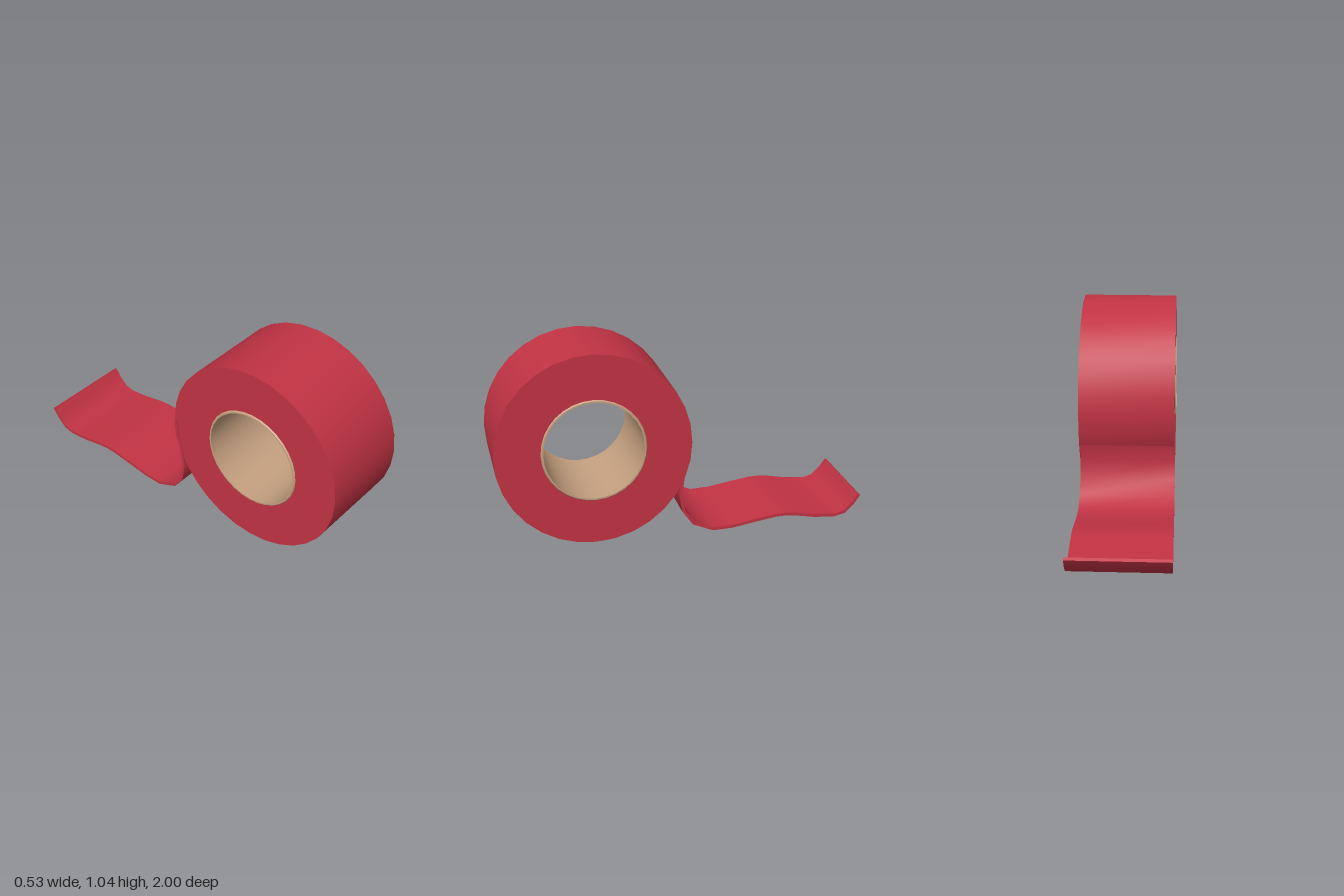
import * as THREE from 'three';
import { toCreasedNormals } from 'three/addons/utils/BufferGeometryUtils.js';

const CENTER_Y = 0.53, CENTER_Z = 0.48;

// Ring around the x axis from a closed (radius, x) profile
function ring(name, profile, material, segments) {
  const points = [...profile, profile[0]].map(([r, x]) => new THREE.Vector2(r, x));
  const geometry = toCreasedNormals(new THREE.LatheGeometry(points, segments), 0.5);
  geometry.rotateZ(-Math.PI / 2);
  const mesh = new THREE.Mesh(geometry, material);
  mesh.name = name;
  mesh.position.set(0, CENTER_Y, CENTER_Z);
  return mesh;
}

// Thin strip following a (z, y) path, extruded across x
function ribbon(name, path, thickness, x0, x1, material) {
  const pts = path.map(([z, y]) => new THREE.Vector2(-z, y));
  const side = (s) => pts.map((p, i) => {
    const a = pts[Math.max(i - 1, 0)], b = pts[Math.min(i + 1, pts.length - 1)];
    const d = b.clone().sub(a).normalize();
    return new THREE.Vector2(p.x - d.y * s, p.y + d.x * s);
  });
  const outline = [...side(-thickness / 2), ...side(thickness / 2).reverse()];
  const extruded = new THREE.ExtrudeGeometry(new THREE.Shape(outline), {
    depth: x1 - x0, bevelEnabled: false,
  });
  const geometry = toCreasedNormals(extruded, 1.0);
  geometry.rotateY(Math.PI / 2);
  geometry.translate(x0, 0, 0);
  const mesh = new THREE.Mesh(geometry, material);
  mesh.name = name;
  return mesh;
}

export function createModel() {
  const red = new THREE.MeshStandardMaterial({ name: 'red tape', color: 0xc23344 });
  const tan = new THREE.MeshStandardMaterial({ name: 'tan cardboard', color: 0xc5a080 });

  const model = new THREE.Group();
  model.name = 'tapeRoll';

  // Wound tape
  model.add(ring('woundTape', [
    [0.274, -0.26], [0.518, -0.26], [0.518, 0.26], [0.274, 0.26],
  ], red, 32));

  // Cardboard core, slightly proud of the tape with bevelled rims
  model.add(ring('core', [
    [0.264, -0.267], [0.272, -0.267], [0.279, -0.258],
    [0.279, 0.258], [0.272, 0.267], [0.264, 0.267],
  ], tan, 32));

  // Loose end peeling off the back and trailing along the ground
  model.add(ribbon('looseEnd', [
    [-0.029, 0.53], [-0.02, 0.43], [0.008, 0.345], [0.022, 0.24], [0.006, 0.137],
    [-0.05, 0.058], [-0.16, 0.012], [-0.265, 0.015], [-0.395, 0.036],
    [-0.51, 0.053], [-0.56, 0.055], [-0.62, 0.05], [-0.74, 0.027],
    [-0.855, 0.018], [-0.91, 0.032], [-0.957, 0.078], [-0.992, 0.128],
  ], 0.017, -0.267, 0.255, red));

  return model;
}
